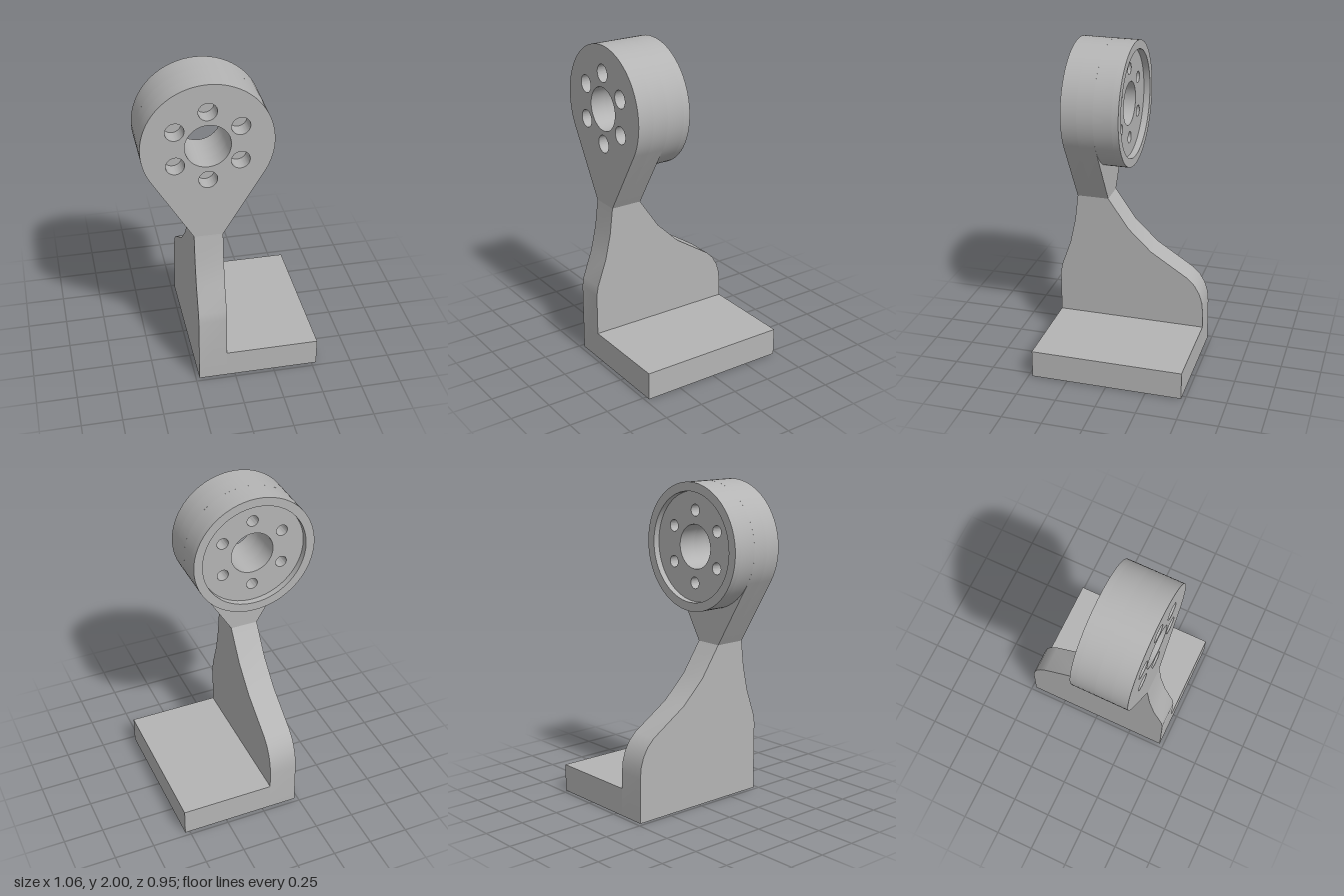
import * as THREE from 'three';
import { toCreasedNormals } from 'three/addons/utils/BufferGeometryUtils.js';

const CX = -0.14, CY = 1.61, R = 0.39;   // head centre and radius
const BORE = 0.135, BOLT_CIRCLE = 0.22;
const NECK = 0.0875;                      // half the thickness of web and neck

export function createModel() {
  const group = new THREE.Group();
  const metal = new THREE.MeshStandardMaterial({ color: 0xb4b4b4 });
  metal.name = 'grey metal';

  const add = (name, geometry) => {
    const mesh = new THREE.Mesh(toCreasedNormals(geometry, 0.5), metal);
    mesh.name = name;
    group.add(mesh);
  };
  const hole = (x, y, r) => new THREE.Path().absarc(x, y, r, 0, Math.PI * 2, true);
  const boltHoles = (shape, r) => {
    for (let i = 0; i < 6; i++) {
      const a = Math.PI / 2 + i * Math.PI / 3;
      shape.holes.push(hole(CX + BOLT_CIRCLE * Math.cos(a), CY + BOLT_CIRCLE * Math.sin(a), r));
    }
  };
  const slab = (name, shape, z0, z1) => {
    const g = new THREE.ExtrudeGeometry(shape, { depth: z1 - z0, bevelEnabled: false, curveSegments: 32 });
    add(name, g.translate(0, 0, z0));
  };

  // Teardrop plate: round head tapering to the neck
  const teardrop = () => {
    const s = new THREE.Shape();
    s.moveTo(CX - NECK, 1);
    s.lineTo(CX + NECK, 1);
    s.absarc(CX, CY, R, -0.53, Math.PI + 0.53, false);
    s.closePath();
    s.holes.push(hole(CX, CY, BORE));
    return s;
  };
  const disc = (inner) => {
    const s = new THREE.Shape().absarc(CX, CY, R, 0, Math.PI * 2, false);
    s.holes.push(hole(CX, CY, inner));
    return s;
  };

  // Front layer has wide blind holes, the middle layer closes them
  const front = teardrop();
  boltHoles(front, 0.055);
  slab('headFrontPlate', front, 0.25, 0.35);
  slab('headMiddlePlate', teardrop(), 0.15, 0.25);

  // Rear boss with narrow holes and a raised rim
  const boss = disc(BORE);
  boltHoles(boss, 0.036);
  slab('headRearBoss', boss, 0.035, 0.15);
  slab('headRearRim', disc(0.335), -0.005, 0.035);

  // Upright web, profile given as (z, y)
  const profile = [
    [0.475, 0], [0.475, 0.44], [0.465, 0.5], [0.405, 0.67], [0.37, 0.83], [0.35, 1],
    [0.15, 1], [0.02, 0.81], [-0.13, 0.665], [-0.37, 0.51], [-0.415, 0.465],
    [-0.447, 0.41], [-0.466, 0.35], [-0.473, 0.28], [-0.475, 0],
  ];
  const web = new THREE.ExtrudeGeometry(
    new THREE.Shape(profile.map(([z, y]) => new THREE.Vector2(-z, y))),
    { depth: NECK * 2, bevelEnabled: false });
  add('uprightWeb', web.rotateY(Math.PI / 2).translate(CX - NECK, 0, 0));

  // Foot plate
  const x0 = CX + NECK, x1 = 0.53, h = 0.175;
  add('footPlate', new THREE.BoxGeometry(x1 - x0, h, 0.95).translate((x0 + x1) / 2, h / 2, 0));

  return group;
}
